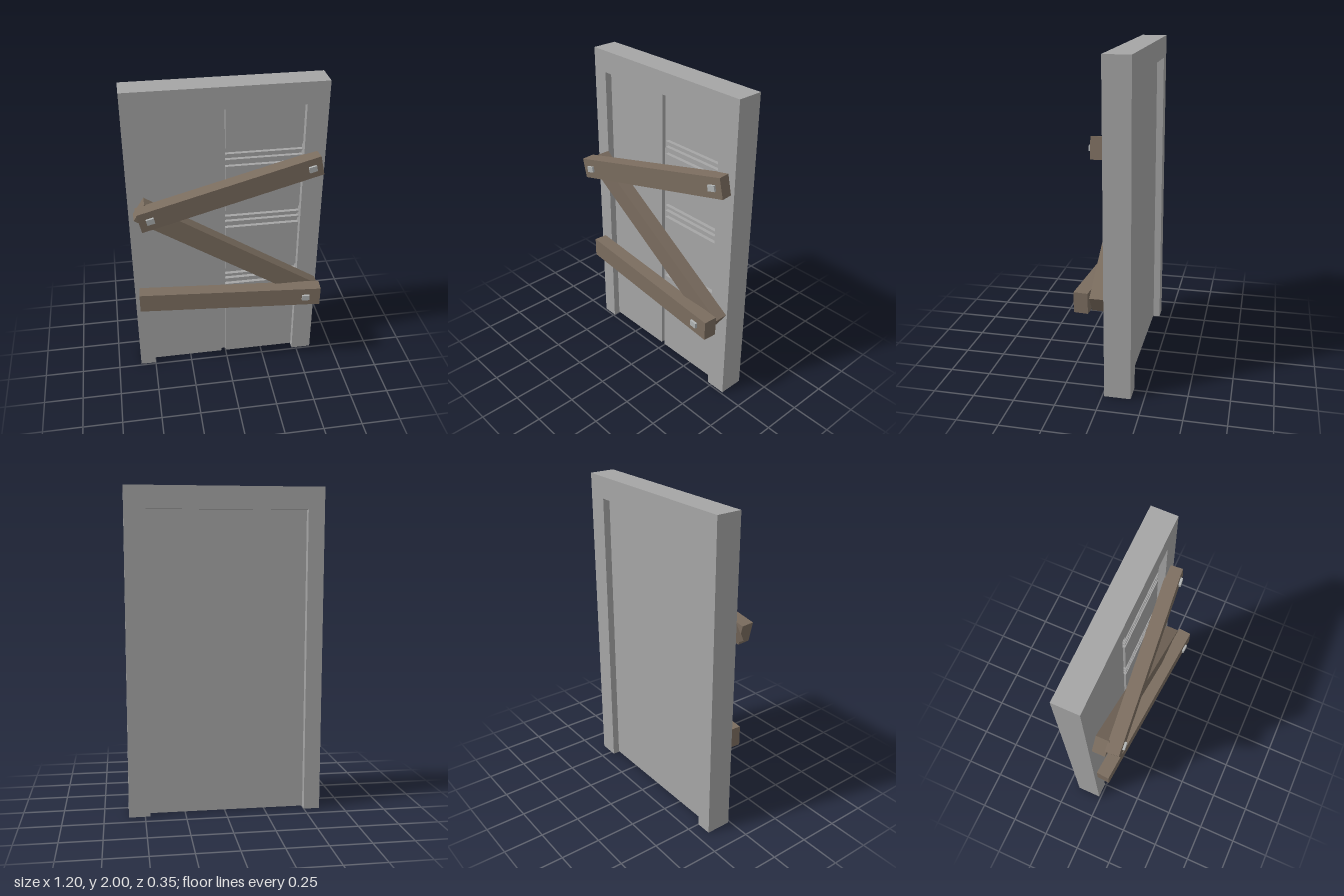
import * as THREE from 'three';

const grey = new THREE.MeshStandardMaterial({ name: 'doorGrey', color: 0xa6a6a6 });
const wood = new THREE.MeshStandardMaterial({ name: 'plankWood', color: 0x7b6d5f });
const steel = new THREE.MeshStandardMaterial({ name: 'nailSteel', color: 0xb0b3b3 });

// box given by its minimum and maximum corners
function block(name, [x0, y0, z0], [x1, y1, z1], material) {
  const mesh = new THREE.Mesh(new THREE.BoxGeometry(x1 - x0, y1 - y0, z1 - z0), material);
  mesh.position.set((x0 + x1) / 2, (y0 + y1) / 2, (z0 + z1) / 2);
  mesh.name = name;
  return mesh;
}

// plank running between two end centres, with nails at distances along it
function plank(name, from, to, nails) {
  const width = 0.126, depth = 0.085;
  const a = new THREE.Vector3(...from), b = new THREE.Vector3(...to);
  const along = b.clone().sub(a);
  const length = along.length();
  along.normalize();
  const out = along.clone().cross(new THREE.Vector3(0, 1, 0)).normalize();
  const up = out.clone().cross(along);
  const group = new THREE.Group();
  group.name = name;
  group.position.copy(a).add(b).multiplyScalar(0.5);
  group.quaternion.setFromRotationMatrix(new THREE.Matrix4().makeBasis(along, up, out));
  group.add(block('board', [-length / 2, -width / 2, -depth / 2], [length / 2, width / 2, depth / 2], wood));
  for (const x of nails) {
    group.add(block('nail', [x - 0.024, -0.018, depth / 2 - 0.01], [x + 0.024, 0.018, depth / 2 + 0.014], steel));
  }
  return group;
}

export function createModel() {
  const model = new THREE.Group();
  model.name = 'boardedDoor';
  const left = -0.5, right = 0.47, top = 1.865, foot = 0.005;
  const back = -0.128, core = -0.08, front = -0.056;

  // frame around the opening
  const outline = new THREE.Shape([
    [-0.6, 0], [left, 0], [left, top], [right, top], [right, 0], [0.6, 0], [0.6, 2], [-0.6, 2],
  ].map(([x, y]) => new THREE.Vector2(x, y)));
  const frame = new THREE.Mesh(new THREE.ExtrudeGeometry(outline, { depth: 0.16, bevelEnabled: false }), grey);
  frame.position.z = -0.172;
  frame.name = 'doorFrame';
  model.add(frame);

  // door leaves: common core, plain left leaf, slotted right leaf
  const door = new THREE.Group();
  door.name = 'door';
  door.add(block('doorCore', [left, foot, back], [right, top, core], grey));
  door.add(block('leftLeaf', [left, foot, core], [-0.03, top, front], grey));
  let y = foot;
  for (const base of [0.594, 1.04, 1.476]) {
    for (const [low, high] of [[0, 0.036], [0.046, 0.074], [0.084, 0.12]]) {
      door.add(block('rightLeafBoard', [0, y, core], [right, base + low, front], grey));
      y = base + high;
    }
  }
  door.add(block('rightLeafBoard', [0, y, core], [right, top, front], grey));
  model.add(door);

  // planks nailed across the door
  model.add(plank('topPlank', [-0.545, 1.253, 0.111], [0.565, 1.5, 0.018], [-0.503, 0.507]));
  model.add(plank('diagonalPlank', [-0.537, 1.282, 0.03], [0.558, 0.57, 0.03], []));
  model.add(plank('bottomPlank', [-0.572, 0.6, 0.031], [0.592, 0.591, 0.123], [0.488]));
  return model;
}
